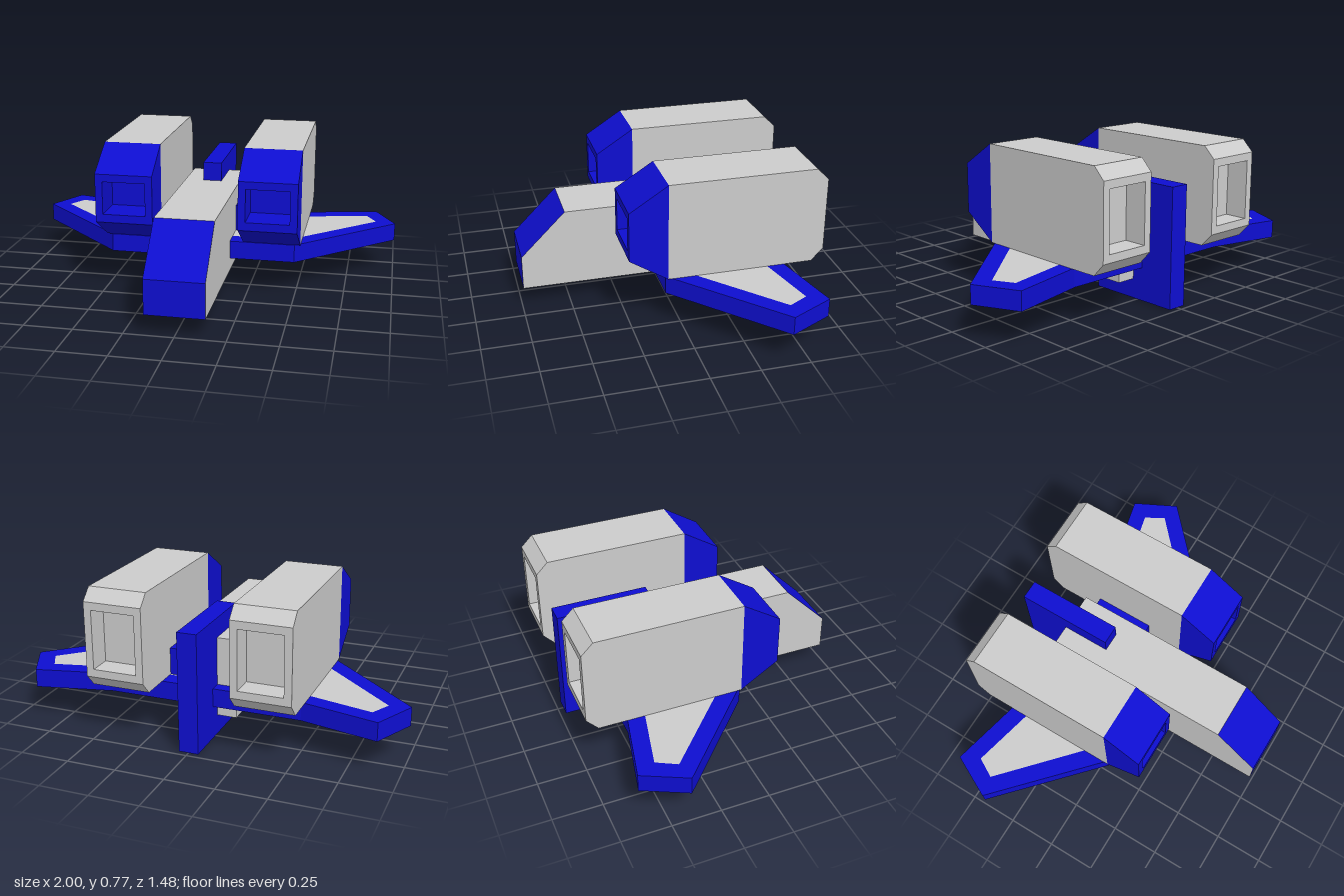
import * as THREE from 'three';

const grey = new THREE.MeshStandardMaterial({ color: 0xcccccc });
const blue = new THREE.MeshStandardMaterial({ color: 0x0e0ed0 });

function addMesh(parent, name, geometry, material) {
  const mesh = new THREE.Mesh(geometry, material);
  mesh.name = name;
  parent.add(mesh);
  return mesh;
}

function box(parent, name, [x0, x1], [y0, y1], [z0, z1], material) {
  const g = new THREE.BoxGeometry(x1 - x0, y1 - y0, z1 - z0);
  g.translate((x0 + x1) / 2, (y0 + y1) / 2, (z0 + z1) / 2);
  return addMesh(parent, name, g, material);
}

function fromTriangles(positions) {
  const g = new THREE.BufferGeometry();
  g.setAttribute('position', new THREE.Float32BufferAttribute(positions, 3));
  g.computeVertexNormals();
  return g;
}

// Rectangular sections [z, halfWidth, yBottom, yTop], joined in order and
// closed at the last one. dir is +1 when the loft heads to +z, -1 to -z.
function loft(sections, dir) {
  const rings = sections.map(([z, w, y0, y1]) => {
    const r = [[-w, y0, z], [w, y0, z], [w, y1, z], [-w, y1, z]];
    return dir > 0 ? r : r.reverse();
  });
  const pos = [];
  const quad = (a, b, c, d) => pos.push(...a, ...b, ...c, ...a, ...c, ...d);
  for (let s = 0; s < rings.length - 1; s++) {
    for (let i = 0; i < 4; i++) {
      const j = (i + 1) % 4;
      quad(rings[s][i], rings[s][j], rings[s + 1][j], rings[s + 1][i]);
    }
  }
  quad(...rings[rings.length - 1]);
  return fromTriangles(pos);
}

// Splits triangles into those facing forward and the rest
function splitForward(geometry) {
  const src = geometry.index ? geometry.toNonIndexed() : geometry;
  const p = src.attributes.position.array;
  const n = src.attributes.normal;
  const forward = [], rest = [];
  for (let v = 0; v < n.count; v += 3) {
    (n.getZ(v) > 0.5 ? forward : rest).push(...p.slice(v * 3, v * 3 + 9));
  }
  return [fromTriangles(forward), fromTriangles(rest)];
}

// Half outline [x, z], mirrored across x = 0
function mirroredOutline(half) {
  const right = half.map(([x, z]) => new THREE.Vector2(x, -z));
  const left = half.map(([x, z]) => new THREE.Vector2(-x, -z)).reverse();
  return [...right, ...left];
}

function slab(shape, y0, y1) {
  const g = new THREE.ExtrudeGeometry(shape, { depth: y1 - y0, bevelEnabled: false });
  g.rotateX(-Math.PI / 2);
  g.translate(0, y0, 0);
  return g;
}

function createFuselage() {
  const group = new THREE.Group();
  group.name = 'fuselage';
  const profile = [[0.74, 0.1], [0.74, 0.28], [0.51, 0.51], [-0.47, 0.51], [-0.47, 0.1]];
  const shape = new THREE.Shape(profile.map(([z, y]) => new THREE.Vector2(-z, y)));
  const g = new THREE.ExtrudeGeometry(shape, { depth: 0.3, bevelEnabled: false });
  g.translate(0, 0, -0.15);
  g.rotateY(Math.PI / 2);
  const [nose, hull] = splitForward(g);
  addMesh(group, 'noseFaces', nose, blue);
  addMesh(group, 'hull', hull, grey);
  return group;
}

function createWings() {
  const group = new THREE.Group();
  group.name = 'wings';
  const outer = mirroredOutline([[0.49, 0.075], [1, -0.4], [0.89, -0.62], [0.5, -0.53]]);
  const inner = mirroredOutline([[0.455, -0.015], [0.895, -0.42], [0.84, -0.52], [0.5, -0.44]]);
  const rim = new THREE.Shape(outer);
  rim.holes.push(new THREE.Path(inner));
  addMesh(group, 'wingRim', slab(rim, 0.17, 0.265), blue);
  addMesh(group, 'wingPanel', slab(new THREE.Shape(inner), 0.17, 0.265), grey);
  return group;
}

function createEngine(side) {
  const group = new THREE.Group();
  group.name = side > 0 ? 'leftEngine' : 'rightEngine';
  group.position.x = side * 0.37;
  // Tapered cowl with a recessed intake
  addMesh(group, 'intakeCowl', loft([
    [0.07, 0.15, 0.265, 0.77],
    [0.265, 0.15, 0.39, 0.645],
    [0.265, 0.112, 0.433, 0.605],
    [0.085, 0.112, 0.433, 0.605],
  ], 1), blue);
  // Body with bevelled tail and a recessed exhaust
  addMesh(group, 'engineBody', loft([
    [0.07, 0.15, 0.265, 0.77],
    [-0.68, 0.15, 0.265, 0.77],
    [-0.74, 0.15, 0.33, 0.71],
    [-0.74, 0.112, 0.37, 0.67],
    [-0.62, 0.112, 0.37, 0.67],
  ], -1), grey);
  return group;
}

export function createModel() {
  const model = new THREE.Group();
  model.name = 'spacecraft';
  model.add(createFuselage(), createWings(), createEngine(1), createEngine(-1));
  // Cross beam joining the engines to the fuselage
  box(model, 'engineMount', [-0.26, 0.26], [0.22, 0.405], [-0.43, -0.12], blue);
  box(model, 'tailFin', [-0.05, 0.05], [0, 0.61], [-0.72, -0.22], blue);
  return model;
}
